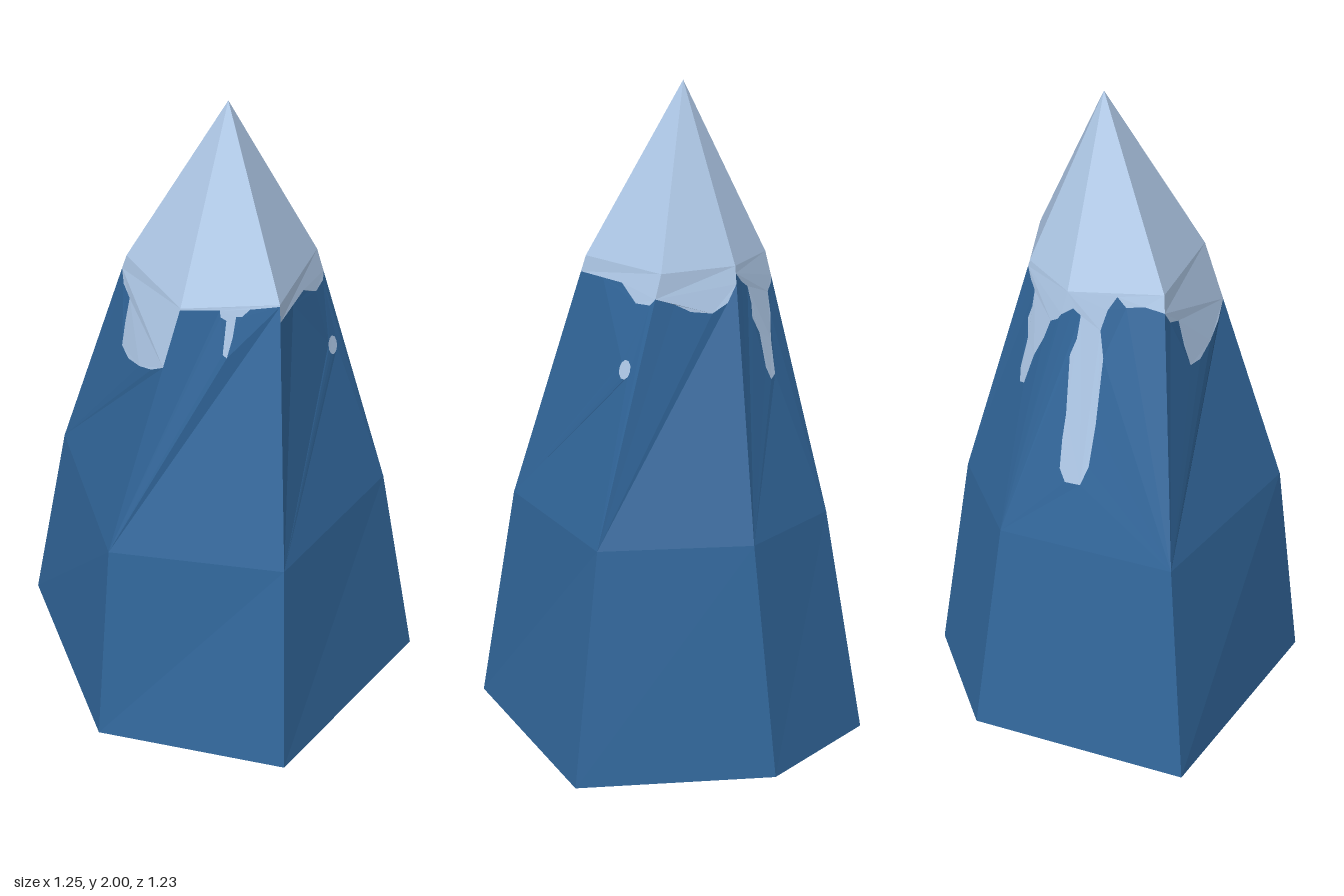
import * as THREE from 'three';

// Six-sided rings, listed back -> right -> front -> left, as [x, z]
const BASE = { y: 0, p: [[-0.02, -0.615], [0.37, -0.45], [0.625, 0.09], [0.14, 0.61], [-0.435, 0.415], [-0.63, -0.29]] };
const WAIST = { y: 0.71, p: [[-0.02, -0.485], [0.31, -0.355], [0.5, 0.06], [0.14, 0.48], [-0.375, 0.35], [-0.5, -0.23]] };
const NECK = { y: 1.49, p: [[-0.085, -0.26], [0.12, -0.23], [0.28, -0.06], [0.14, 0.225], [-0.14, 0.22], [-0.28, -0.07]] };
const PEAK = { y: 2, p: Array(6).fill([0.015, -0.035]) };

// Lower edge of the snow on each face: [u, y], u running left to right seen from outside
const SNOW_LINES = [
  [[0, 1.47], [0.15, 1.44], [0.3, 1.42], [0.35, 1.37], [0.33, 1.33], [0.45, 1.28], [0.48, 1.18], [0.55, 1.14],
    [0.64, 1.15], [0.68, 1.25], [0.78, 1.32], [0.82, 1.38], [0.95, 1.4], [1, 1.42]],
  [[0, 1.42], [0.25, 1.4], [0.45, 1.375], [0.7, 1.365], [0.88, 1.39], [1, 1.44]],
  [[0, 1.44], [0.3, 1.44], [0.55, 1.44], [0.65, 1.42], [0.78, 1.395], [0.95, 1.4], [1, 1.42]],
  [[0, 1.485], [0.4, 1.48], [0.42, 1.46], [0.48, 1.45], [0.49, 1.35], [0.53, 1.34], [0.56, 1.4], [0.57, 1.46],
    [0.63, 1.46], [0.7, 1.48], [1, 1.485]],
  [[0, 1.44], [0.1, 1.4], [0.25, 1.38], [0.3, 1.3], [0.36, 1.23], [0.5, 1.22], [0.68, 1.24], [0.85, 1.27], [1, 1.31]],
  [[0, 1.42], [0.1, 1.44], [0.19, 1.42], [0.2, 1.35], [0.17, 1.3], [0.24, 1.12], [0.25, 1.03], [0.27, 0.95],
    [0.32, 0.91], [0.42, 0.91], [0.46, 0.97], [0.47, 1.1], [0.46, 1.3], [0.4, 1.38], [0.44, 1.44], [0.52, 1.48],
    [0.62, 1.45], [0.8, 1.455], [1, 1.44]],
];

// Point on face i between two rings
function onFace(i, low, high, u, y) {
  const t = (y - low.y) / (high.y - low.y);
  const edge = (k) => [0, 1].map((a) => THREE.MathUtils.lerp(low.p[k][a], high.p[k][a], t));
  const left = edge((i + 1) % 6), right = edge(i);
  return [THREE.MathUtils.lerp(left[0], right[0], u), y, THREE.MathUtils.lerp(left[1], right[1], u)];
}

// Lay a flat (u, y) shape onto face i
function faceMesh(name, shape, i, low, high, material) {
  const geometry = new THREE.ShapeGeometry(shape);
  const pos = geometry.attributes.position;
  for (let k = 0; k < pos.count; k++) pos.setXYZ(k, ...onFace(i, low, high, pos.getX(k), pos.getY(k)));
  geometry.computeVertexNormals();
  const mesh = new THREE.Mesh(geometry, material);
  mesh.name = name;
  return mesh;
}

const polygon = (points) => new THREE.Shape(points.map(([u, y]) => new THREE.Vector2(u, y)));

export function createModel() {
  const rock = new THREE.MeshStandardMaterial({ color: 0x31669a, flatShading: true, side: THREE.DoubleSide });
  rock.name = 'blue rock';
  const snow = new THREE.MeshStandardMaterial({ color: 0xafc9e8, flatShading: true, side: THREE.DoubleSide });
  snow.name = 'pale snow';

  const mountain = new THREE.Group();
  mountain.name = 'mountain';

  SNOW_LINES.forEach((line, i) => {
    // Foot of the mountain, open underneath
    const foot = polygon([[0, BASE.y], [1, BASE.y], [1, WAIST.y], [0, WAIST.y]]);
    mountain.add(faceMesh('foot', foot, i, BASE, WAIST, rock));

    // Slope, split along the snow line
    const slope = polygon([[0, WAIST.y], [1, WAIST.y], ...[...line].reverse()]);
    const drips = polygon([...line, [1, NECK.y], [0, NECK.y]]);

    // One loose patch of snow on the right-hand face
    if (i === 2) {
      const ring = Array.from({ length: 10 }, (_, k) => {
        const a = (k / 10) * Math.PI * 2;
        return [0.84 + 0.065 * Math.cos(a), 1.21 + 0.028 * Math.sin(a)];
      });
      slope.holes.push(polygon(ring));
      mountain.add(faceMesh('snowPatch', polygon(ring), i, WAIST, NECK, snow));
    }
    mountain.add(faceMesh('slope', slope, i, WAIST, NECK, rock));
    mountain.add(faceMesh('snowDrips', drips, i, WAIST, NECK, snow));

    // Pointed cap
    const cap = polygon([[0, NECK.y], [1, NECK.y], [0.5, PEAK.y]]);
    mountain.add(faceMesh('snowCap', cap, i, NECK, PEAK, snow));
  });
  return mountain;
}
